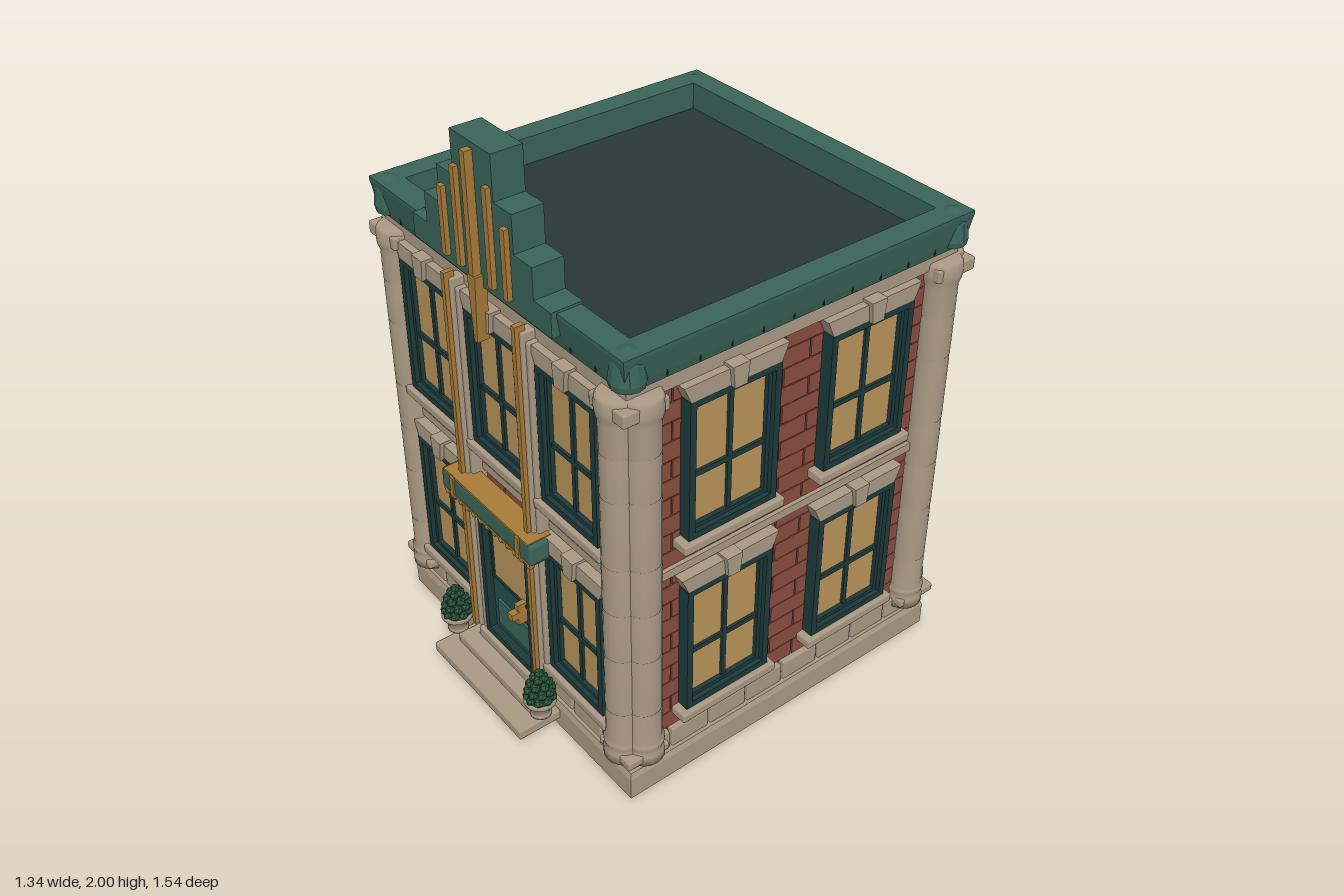
import * as THREE from 'three';
import { mergeGeometries } from 'three/addons/utils/BufferGeometryUtils.js';
import { RoundedBoxGeometry } from 'three/addons/geometries/RoundedBoxGeometry.js';

const mat = (color, flatShading = false) => new THREE.MeshStandardMaterial({ color, flatShading });
const M = {
  stone: mat(0xab9a84), brick: mat(0x8a4d3e), mortar: mat(0x70402f), green: mat(0x3a6459, true),
  dark: mat(0x1e3a3b), door: mat(0x24504c), glass: mat(0xb8935a), gold: mat(0xa87c38),
  roof: mat(0x283838), iron: mat(0x1d2a2c), leaf: mat(0x2c5a3c, true),
};

function add(parent, name, geo, material, x = 0, y = 0, z = 0) {
  const m = new THREE.Mesh(geo, material);
  m.name = name;
  m.position.set(x, y, z);
  parent.add(m);
  return m;
}
// Box given by its extents
function box(parent, name, material, x0, x1, y0, y1, z0, z1) {
  return add(parent, name, new THREE.BoxGeometry(x1 - x0, y1 - y0, z1 - z0), material,
    (x0 + x1) / 2, (y0 + y1) / 2, (z0 + z1) / 2);
}
// Softly bevelled stone block given by its extents
function block(parent, name, x0, x1, y0, y1, z0, z1) {
  return add(parent, name, new RoundedBoxGeometry(x1 - x0, y1 - y0, z1 - z0, 1, 0.006), M.stone,
    (x0 + x1) / 2, (y0 + y1) / 2, (z0 + z1) / 2);
}
const rect = (S, w, y0, y1) => new S([[-w, y0], [w, y0], [w, y1], [-w, y1]].map(p => new THREE.Vector2(...p)));
const extrude = (shape, depth) => new THREE.ExtrudeGeometry(shape, { depth, bevelEnabled: false });
// Symmetric trapezoid: half widths at bottom and top
function trapezoid(b, t, y0, y1, depth) {
  return extrude(new THREE.Shape([[-b, y0], [b, y0], [t, y1], [-t, y1]].map(p => new THREE.Vector2(...p))), depth);
}
function frame(w, y0, y1, t, depth) {
  const s = rect(THREE.Shape, w, y0, y1);
  s.holes.push(rect(THREE.Path, w - t, y0 + t, y1 - t));
  return extrude(s, depth);
}
// Square ring or solid swept from a profile of [half size, y]
function squareLathe(points) {
  return new THREE.LatheGeometry(points.map(([r, y]) => new THREE.Vector2(r * Math.SQRT2, y)), 4, Math.PI / 4);
}

function makeWindow(face, x, y, w) {
  const g = new THREE.Group();
  g.name = 'window';
  g.position.set(x, y, 0);
  face.add(g);
  const h = 0.48, i = w - 0.035;
  box(g, 'glass', M.glass, -i, i, 0.02, h - 0.02, 0.59, 0.609);
  add(g, 'outerFrame', frame(w, 0, h, 0.022, 0.05), M.dark, 0, 0, 0.59);
  add(g, 'sash', frame(w - 0.02, 0.02, h - 0.02, 0.015, 0.034), M.dark, 0, 0, 0.59);
  box(g, 'verticalBar', M.dark, -0.008, 0.008, 0.02, h - 0.02, 0.6, 0.618);
  box(g, 'horizontalBar', M.dark, -i, i, 0.2, 0.218, 0.6, 0.618);
  block(g, 'sill', -w - 0.024, w + 0.024, -0.036, -0.003, 0.58, 0.655);
  add(g, 'lintel', trapezoid(w - 0.002, w + 0.022, h, h + 0.055, 0.05), M.stone, 0, 0, 0.59);
  add(g, 'keystone', trapezoid(0.022, 0.03, h - 0.005, h + 0.066, 0.065), M.stone, 0, 0, 0.59);
}

// One face of brick courses, staggered
function brickFace() {
  const parts = [];
  for (let r = 0; r < 20; r++) {
    for (let x = -0.55 - (r % 2) * 0.1; x < 0.55; x += 0.2) {
      const a = Math.max(x + 0.003, -0.55), b = Math.min(x + 0.197, 0.55);
      parts.push(new THREE.BoxGeometry(b - a, 0.062, 0.02).translate((a + b) / 2, 0.2025 + r * 0.065, 0.588));
    }
  }
  return mergeGeometries(parts);
}

function makeColumn() {
  const p = [[0, 0.14], [0.065, 0.14], [0.065, 0.175], [0.058, 0.185], [0.064, 0.2], [0.064, 0.215], [0.057, 0.225]];
  for (const y of [0.34, 0.56, 0.74, 0.91, 1.15, 1.3]) p.push([0.057, y - 0.006], [0.053, y], [0.057, y + 0.006]);
  p.push([0.057, 1.41], [0.064, 1.43], [0.066, 1.45], [0.064, 1.48], [0.058, 1.49], [0, 1.49]);
  return new THREE.LatheGeometry(p.map(q => new THREE.Vector2(...q)), 20);
}

function makePlanter() {
  const g = new THREE.Group();
  g.name = 'planter';
  const pot = [[0, 0.1], [0.036, 0.1], [0.036, 0.11], [0.03, 0.115], [0.047, 0.15], [0.054, 0.155], [0.054, 0.17], [0.044, 0.17], [0, 0.165]];
  add(g, 'pot', new THREE.LatheGeometry(pot.map(q => new THREE.Vector2(...q)), 16), M.stone);
  add(g, 'shrubCore', new THREE.ConeGeometry(0.05, 0.12, 10), M.leaf, 0, 0.225, 0);
  [[0.04, 0.18, 9], [0.037, 0.207, 8], [0.029, 0.232, 6], [0.016, 0.255, 4], [0, 0.272, 1]].forEach(([r, y, n], k) => {
    for (let i = 0; i < n; i++) {
      const a = (i + k * 0.5) / n * Math.PI * 2;
      add(g, 'leaves', new THREE.IcosahedronGeometry(0.017, 0), M.leaf, Math.cos(a) * r, y, Math.sin(a) * r);
    }
  });
  return g;
}

function makeEntrance(face) {
  for (const s of [-1, 1]) {
    // Tall pilasters with gold strips
    const x = s * 0.182;
    block(face, 'pilaster', x - 0.034, x + 0.034, 0.12, 1.47, 0.58, 0.648);
    block(face, 'pilasterRidge', x - 0.02, x + 0.02, 0.14, 1.5, 0.6, 0.66);
    box(face, 'pilasterStrip', M.gold, x - 0.009, x + 0.009, 0.15, 1.52, 0.64, 0.674);
    box(face, 'canopyBracket', M.gold, x - 0.01, x + 0.01, 0.71, 0.79, 0.64, 0.71);
    const p = makePlanter();
    p.position.set(s * 0.247, 0, 0.7);
    face.add(p);
  }
  // Door
  box(face, 'doorSurround', M.stone, -0.16, 0.16, 0.13, 0.74, 0.58, 0.61);
  add(face, 'doorFrame', frame(0.142, 0.14, 0.66, 0.022, 0.05), M.dark, 0, 0, 0.6);
  box(face, 'doorLeaf', M.door, -0.125, 0.125, 0.14, 0.645, 0.6, 0.622);
  box(face, 'doorGlass', M.glass, -0.1, 0.1, 0.4, 0.62, 0.61, 0.626);
  add(face, 'doorGlassFrame', frame(0.108, 0.39, 0.628, 0.01, 0.02), M.dark, 0, 0, 0.612);
  box(face, 'doorPanel', M.green, -0.09, 0.09, 0.195, 0.3, 0.61, 0.63);
  box(face, 'doorHandle', M.gold, 0.063, 0.083, 0.33, 0.41, 0.62, 0.66);
  box(face, 'doorKnob', M.gold, 0.06, 0.086, 0.36, 0.385, 0.655, 0.685);
  // Steps
  block(face, 'lowerStep', -0.257, 0.257, 0.035, 0.072, 0.62, 0.79);
  block(face, 'middleStep', -0.215, 0.215, 0.07, 0.105, 0.6, 0.72);
  block(face, 'upperStep', -0.17, 0.17, 0.1, 0.14, 0.58, 0.665);
  // Canopy with a beaded lower edge
  add(face, 'canopy', new RoundedBoxGeometry(0.5, 0.075, 0.09, 2, 0.012), M.green, 0, 0.752, 0.66);
  box(face, 'canopyTop', M.gold, -0.235, 0.235, 0.783, 0.793, 0.62, 0.703);
  box(face, 'canopyEdge', M.gold, -0.24, 0.24, 0.708, 0.718, 0.62, 0.703);
  for (let i = 0; i < 13; i++) add(face, 'canopyBead', new THREE.SphereGeometry(0.013, 8, 6), M.gold, -0.228 + i * 0.038, 0.704, 0.693);
}

function makeParapetCrest(face) {
  const steps = [[0.35, 1.56, 1.64], [0.27, 1.64, 1.74], [0.185, 1.74, 1.86], [0.1, 1.86, 2]];
  for (const [w, y0, y1] of steps) box(face, 'crestStep', M.green, -w, w, y0, y1, 0.555, 0.658);
  for (const [x, top] of [[-0.157, 1.81], [-0.08, 1.9], [0.08, 1.9], [0.157, 1.81]])
    box(face, 'crestFin', M.gold, x - 0.011, x + 0.011, 1.59, top, 0.64, 0.674);
  box(face, 'centreFin', M.gold, -0.012, 0.012, 1.58, 1.98, 0.64, 0.684);
  add(face, 'finDrop', trapezoid(0.008, 0.021, 1.38, 1.6, 0.04), M.gold, 0, 0, 0.645);
}

// Iron platform, railing and slanted ladder
function makeFireEscape(face) {
  const g = new THREE.Group();
  g.name = 'fireEscape';
  face.add(g);
  box(g, 'platform', M.iron, -0.385, 0.385, 0.81, 0.826, 0.6, 0.752);
  box(g, 'topRail', M.iron, -0.385, 0.385, 0.988, 1.0, 0.738, 0.75);
  for (let i = 0; i < 9; i++) {
    const x = -0.379 + i * 0.09475;
    box(g, 'railPost', M.iron, x - 0.005, x + 0.005, 0.82, 0.99, 0.739, 0.749);
  }
  const ladder = new THREE.Group();
  ladder.name = 'ladder';
  ladder.position.set(0.02, 0.49, 0.672);
  ladder.rotation.z = -Math.atan2(0.36, 0.64);
  g.add(ladder);
  for (const x of [-0.035, 0.035]) box(ladder, 'ladderRail', M.iron, x - 0.006, x + 0.006, -0.36, 0.37, -0.007, 0.007);
  for (let i = 0; i < 11; i++) box(ladder, 'rung', M.iron, -0.035, 0.035, -0.325 + i * 0.063, -0.315 + i * 0.063, -0.006, 0.006);
  ladder.rotation.z *= -1;
  ladder.scale.x = -1;
  ladder.rotation.z *= -1;
  ladder.scale.x = 1;
}

export function createModel() {
  const model = new THREE.Group();
  model.name = 'building';
  const house = new THREE.Group();
  house.name = 'house';
  house.position.z = -0.02;
  model.add(house);

  // Body, plinth, bands, cornice and roof
  add(house, 'plinth', squareLathe([[0, 0], [0.635, 0], [0.635, 0.08], [0.628, 0.1], [0, 0.1]]), mat(0xab9a84, true));
  box(house, 'wallCore', M.mortar, -0.592, 0.592, 0.09, 1.5, -0.592, 0.592);
  box(house, 'stringCourse', M.stone, -0.612, 0.612, 0.8, 0.83, -0.612, 0.612);
  box(house, 'frieze', M.stone, -0.615, 0.615, 1.465, 1.525, -0.615, 0.615);
  add(house, 'cornice', squareLathe([[0.5, 1.515], [0.622, 1.515], [0.628, 1.54], [0.64, 1.62], [0.64, 1.632], [0.56, 1.632], [0.56, 1.52]]), M.green);
  box(house, 'roof', M.roof, -0.57, 0.57, 1.5, 1.54, -0.57, 0.57);

  // Four faces sharing brickwork and footing blocks
  const bricks = brickFace();
  const faces = ['front', 'rightSide', 'back', 'leftSide'].map((name, k) => {
    const f = new THREE.Group();
    f.name = name;
    f.rotation.y = k * Math.PI / 2;
    house.add(f);
    add(f, 'brickwork', bricks, M.brick);
    for (let i = 0; i < 8; i++) block(f, 'footingBlock', -0.613 + i * 0.154, -0.468 + i * 0.154, 0.097, 0.172, 0.57, 0.618);
    for (let i = 1; i < 11; i++) box(f, 'corniceSeam', M.dark, -0.602 + i * 0.11, -0.598 + i * 0.11, 1.525, 1.62, 0.6, 0.629);
    return f;
  });
  const floors = [0.255, 0.93];
  for (const y of floors) {
    for (const s of [-1, 1]) {
      makeWindow(faces[0], s * 0.365, y, 0.139);
      for (const k of [1, 2, 3]) makeWindow(faces[k], s * 0.258, y, 0.163);
    }
  }
  makeWindow(faces[0], 0, floors[1], 0.139);

  // Paired corner columns with plates and cornice caps
  const column = makeColumn();
  for (const sx of [-1, 1]) for (const sz of [-1, 1]) {
    add(house, 'cornerColumn', column, M.stone, sx * 0.565, 0, sz * 0.605);
    add(house, 'cornerColumn', column, M.stone, sx * 0.605, 0, sz * 0.56);
    for (const [y0, y1] of [[0.15, 0.18], [1.435, 1.478]])
      block(house, 'cornerPlate', sx * 0.577 - 0.077, sx * 0.577 + 0.077, y0, y1, sz * 0.577 - 0.077, sz * 0.577 + 0.077);
    const cap = [[0, 1.52], [0.05, 1.525], [0.054, 1.545], [0.046, 1.6], [0.034, 1.63], [0, 1.642]];
    add(house, 'cornerCap', new THREE.LatheGeometry(cap.map(q => new THREE.Vector2(...q)), 12), M.green, sx * 0.596, 0, sz * 0.596);
  }

  makeEntrance(faces[0]);
  makeParapetCrest(faces[0]);
  makeFireEscape(faces[2]);
  return model;
}
